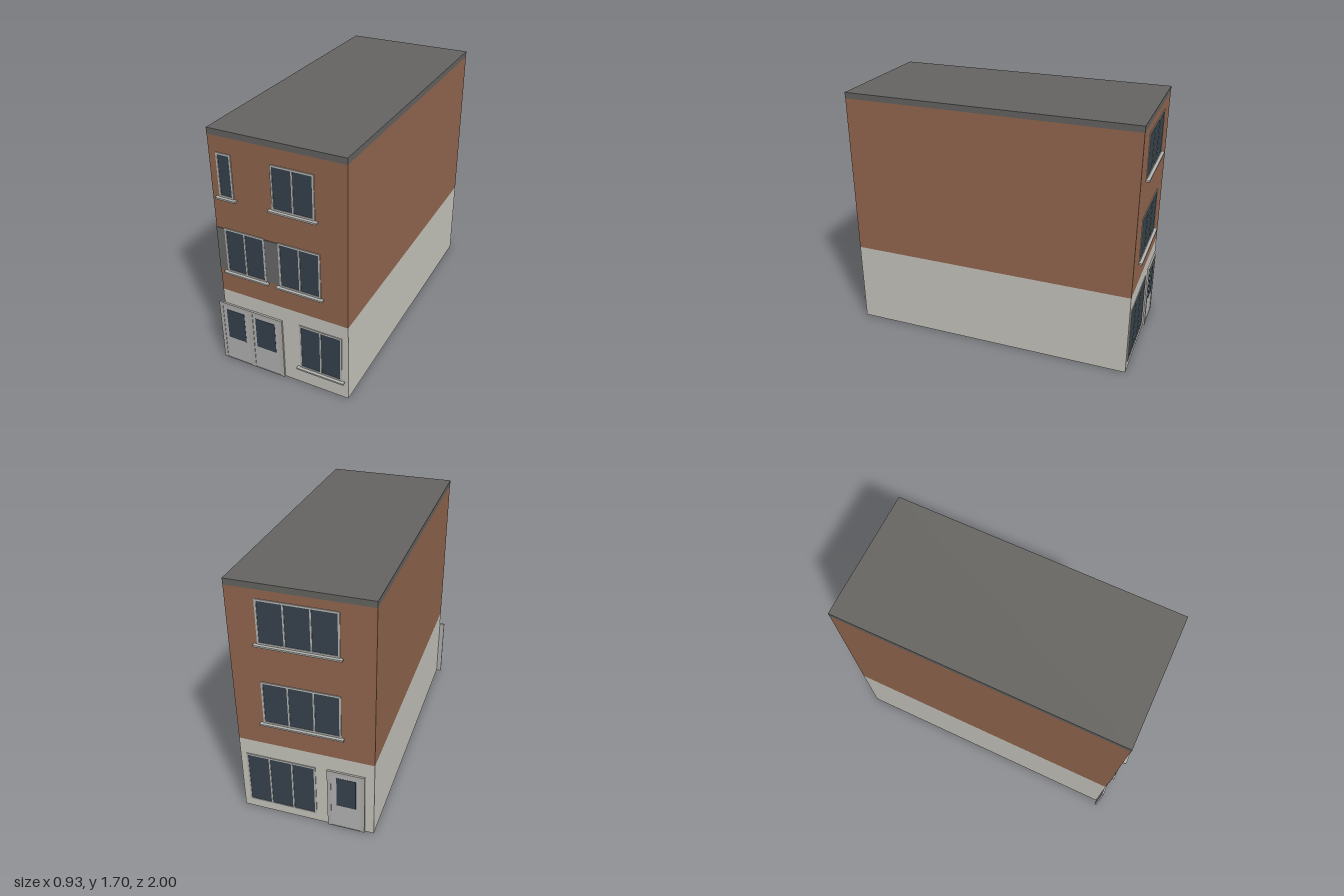
import * as THREE from 'three';

const mat = (color, side = THREE.FrontSide) => new THREE.MeshStandardMaterial({ color, side });
const M = {
  brick: mat(0x946850, THREE.DoubleSide),
  plaster: mat(0xc9c8c0, THREE.DoubleSide),
  roof: mat(0x666562),
  frame: mat(0xb6b7b4),
  glass: mat(0x38444e),
  surround: mat(0xb4b2af),
  leaf: mat(0xb6b6b8),
  panel: mat(0x6c6b6d),
};
const X0 = -0.43, X1 = 0.465, Z = 0.975;

function add(parent, name, geometry, material) {
  const mesh = new THREE.Mesh(geometry, material);
  mesh.name = name;
  parent.add(mesh);
  return mesh;
}

// Box given by its limits on each axis
function block(parent, name, material, x0, x1, y0, y1, z0, z1) {
  const g = new THREE.BoxGeometry(x1 - x0, y1 - y0, z1 - z0);
  g.translate((x0 + x1) / 2, (y0 + y1) / 2, (z0 + z1) / 2);
  return add(parent, name, g, material);
}

// Four thin walls, open above and below
function walls(parent, name, material, y0, y1) {
  const group = new THREE.Group();
  group.name = name;
  const cx = (X0 + X1) / 2, w = X1 - X0;
  const sides = [[w, cx, Z, 0], [2 * Z, X1, 0, Math.PI / 2], [w, cx, -Z, Math.PI], [2 * Z, X0, 0, -Math.PI / 2]];
  for (const [width, x, z, turn] of sides) {
    const m = add(group, name + 'Side', new THREE.PlaneGeometry(width, y1 - y0), material);
    m.position.set(x, (y0 + y1) / 2, z);
    m.rotation.y = turn;
  }
  parent.add(group);
}

function rect(path, x0, x1, y0, y1) {
  path.moveTo(x0, y0);
  path.lineTo(x1, y0);
  path.lineTo(x1, y1);
  path.lineTo(x0, y1);
  path.closePath();
  return path;
}

// Framed window with equal panes and an optional sill
function windowUnit(parent, name, x0, x1, y0, y1, panes, sill = true) {
  const group = new THREE.Group();
  group.name = name;
  const b = 0.012, bar = 0.01;
  const shape = rect(new THREE.Shape(), x0, x1, y0, y1);
  const pw = (x1 - x0 - 2 * b - (panes - 1) * bar) / panes;
  for (let i = 0; i < panes; i++) {
    const px = x0 + b + i * (pw + bar);
    shape.holes.push(rect(new THREE.Path(), px, px + pw, y0 + b, y1 - b));
  }
  const frame = new THREE.ExtrudeGeometry(shape, { depth: 0.005, bevelEnabled: false });
  add(group, 'windowFrame', frame.translate(0, 0, Z), M.frame);
  block(group, 'windowGlass', M.glass, x0 + 0.004, x1 - 0.004, y0 + 0.004, y1 - 0.004, Z - 0.002, Z + 0.002);
  if (sill) block(group, 'windowSill', M.frame, x0 - 0.02, x1 + 0.018, y0 - 0.011, y0, Z, 1);
  parent.add(group);
}

// Door surround with glazed leaves, each [leaf x0, leaf x1, glass x0, glass x1]
function doorUnit(parent, name, x0, x1, leaves) {
  const group = new THREE.Group();
  group.name = name;
  const shape = rect(new THREE.Shape(), x0, x1, 0, 0.463);
  for (const [a, b] of leaves) shape.holes.push(rect(new THREE.Path(), a, b, 0.004, 0.442));
  const surround = new THREE.ExtrudeGeometry(shape, { depth: 0.012, bevelEnabled: false });
  add(group, 'doorSurround', surround.translate(0, 0, Z + 0.001), M.surround);
  for (const [a, b, g0, g1] of leaves) {
    block(group, 'doorLeaf', M.leaf, a, b, 0.004, 0.442, Z + 0.001, Z + 0.01);
    block(group, 'doorGlass', M.glass, g0, g1, 0.185, 0.415, Z + 0.008, Z + 0.0115);
  }
  parent.add(group);
}

export function createModel() {
  const house = new THREE.Group();
  house.name = 'townhouse';

  // Shell
  walls(house, 'groundFloorWalls', M.plaster, 0, 0.57);
  walls(house, 'brickWalls', M.brick, 0.57, 1.66);
  block(house, 'flatRoof', M.roof, X0 - 0.001, X1, 1.66, 1.7, -Z - 0.001, Z + 0.001);

  // Front
  const front = new THREE.Group();
  front.name = 'frontFacade';
  windowUnit(front, 'topNarrowWindow', -0.381, -0.28, 1.265, 1.556, 1);
  windowUnit(front, 'topWideWindow', -0.02, 0.26, 1.265, 1.556, 2);
  for (const x of [-0.372, 0.004]) windowUnit(front, 'middleWindow', x, x + 0.282, 0.731, 1.046, 2);
  for (const [a, b] of [[X0, -0.372], [-0.09, 0.004]])
    block(front, 'greyPanel', M.panel, a, b, 0.738, 1.04, Z, Z + 0.004);
  windowUnit(front, 'groundWindow', 0.125, 0.422, 0.131, 0.472, 2);
  doorUnit(front, 'doubleDoor', -0.465, 0.005,
    [[-0.44, -0.25, -0.413, -0.279], [-0.215, -0.025, -0.194, -0.05]]);
  house.add(front);

  // Back, laid out facing +z and turned round, so x is reversed
  const back = new THREE.Group();
  back.name = 'backFacade';
  windowUnit(back, 'topWindow', -0.282, 0.22, 1.307, 1.602, 3);
  windowUnit(back, 'middleWindow', -0.282, 0.22, 0.737, 1.042, 3);
  windowUnit(back, 'groundWindow', -0.425, 0.045, 0.06, 0.455, 3, false);
  doorUnit(back, 'backDoor', 0.123, 0.37, [[0.148, 0.345, 0.185, 0.312]]);
  back.rotation.y = Math.PI;
  house.add(back);

  return house;
}
